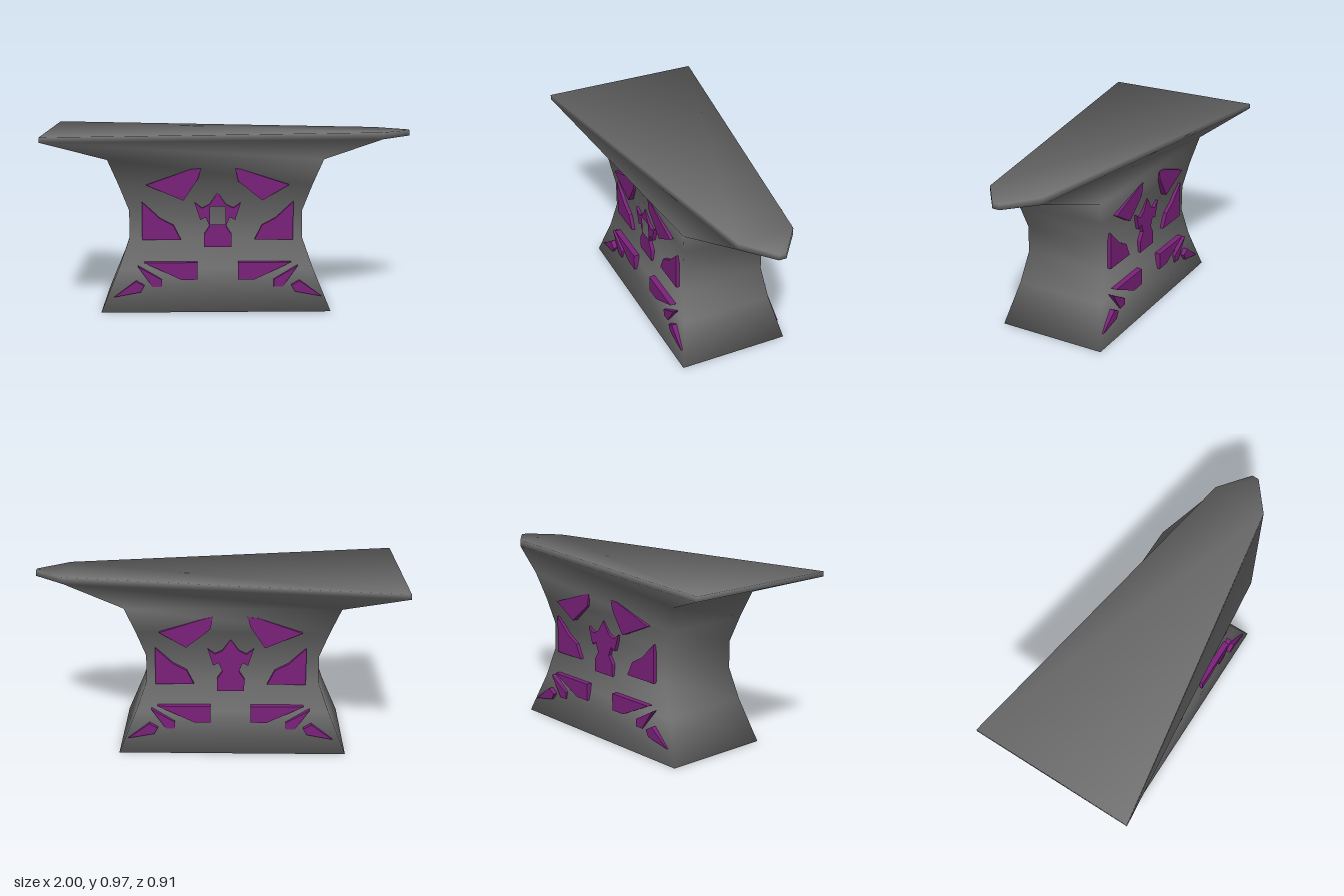
import * as THREE from 'three';
import { mergeVertices } from 'three/addons/utils/BufferGeometryUtils.js';

const iron = new THREE.MeshStandardMaterial({ color: 0x727272 });
const purple = new THREE.MeshStandardMaterial({ color: 0x7a217a });
const AXIS = -0.075; // the waist and its ornaments are mirrored about this x

// Six-cornered outline: heel edge, shoulder, horn tip and back again
function outline([xl, zl, yl], [xr, zr, yr], [xt, zt, yt] = [xr, zr, yr]) {
  return [[xl, yl, zl], [xr, yr, zr], [xt, yt, zt], [xt, yt, -zt], [xr, yr, -zr], [xl, yl, -zl]];
}

// Smooth normals weighted by corner angle, so thin rims round off the broad faces
function smoothByAngle(geo) {
  const pos = geo.attributes.position;
  const sums = Array.from({ length: pos.count }, () => new THREE.Vector3());
  const index = geo.index.array;
  for (let f = 0; f < index.length; f += 3) {
    const ids = [index[f], index[f + 1], index[f + 2]];
    const [a, b, c] = ids.map((i) => new THREE.Vector3().fromBufferAttribute(pos, i));
    const tri = new THREE.Triangle(a, b, c);
    if (tri.getArea() < 1e-7) continue;
    const normal = tri.getNormal(new THREE.Vector3());
    [[a, b, c], [b, c, a], [c, a, b]].forEach(([p, q, r], k) => {
      sums[ids[k]].addScaledVector(normal, q.clone().sub(p).angleTo(r.clone().sub(p)));
    });
  }
  const normals = sums.flatMap((n) => n.normalize().toArray());
  geo.setAttribute('normal', new THREE.Float32BufferAttribute(normals, 3));
}

// Skin stacked outlines into one smooth closed body
function loft(rings) {
  const index = [];
  const quad = (a, b, c, d) => index.push(a, b, d, b, c, d);
  for (let r = 0; r < rings.length - 1; r++) {
    for (let i = 0; i < 6; i++) {
      const j = (i + 1) % 6;
      quad(r * 6 + i, r * 6 + j, r * 6 + 6 + j, r * 6 + 6 + i);
    }
  }
  const t = (rings.length - 1) * 6;
  quad(t, t + 1, t + 4, t + 5);
  quad(t + 1, t + 2, t + 3, t + 4);
  quad(5, 4, 1, 0);
  let geo = new THREE.BufferGeometry();
  geo.setAttribute('position', new THREE.Float32BufferAttribute(rings.flat(2), 3));
  geo.setIndex(index);
  geo = mergeVertices(geo);
  smoothByAngle(geo);
  return geo;
}

const toShape = (points) => new THREE.Shape(points.map(([x, y]) => new THREE.Vector2(x, y)));
const mirror = (points) => points.map(([x, y]) => [2 * AXIS - x, y]);

// Flat ornament reaching from z0 to z1
function inlay(name, shape, z0, z1) {
  const geo = new THREE.ExtrudeGeometry(shape, { depth: z1 - z0, bevelEnabled: false });
  geo.translate(0, 0, z0);
  const mesh = new THREE.Mesh(geo, purple);
  mesh.name = name;
  return mesh;
}

export function createModel() {
  const group = new THREE.Group();
  group.name = 'anvil';

  // Waisted foot, flaring into the face with its wide heel and pointed horn
  const waist = [
    // y, left x, right x, half depth
    [0, -0.71, 0.54, 0.31],
    [0.23, -0.615, 0.445, 0.257],
    [0.4, -0.555, 0.385, 0.235],
    [0.55, -0.555, 0.385, 0.235],
    [0.69, -0.607, 0.437, 0.255],
    [0.833, -0.665, 0.495, 0.285],
  ].map(([y, xl, xr, z]) => outline([xl, z, y], [xr, z, y]));
  const body = new THREE.Mesh(loft([
    ...waist,
    outline([-1, 0.453, 0.945], [0.83, 0.153, 0.925]),
    outline([-1, 0.453, 0.945], [0.83, 0.153, 0.925], [1, 0.02, 0.932]),
    outline([-1, 0.453, 0.972], [0.83, 0.153, 0.963], [1, 0.02, 0.962]),
  ]), iron);
  body.name = 'anvilBody';
  group.add(body);

  // Mirrored ornaments, showing on both front and back
  const pairs = [
    ['sideInlay', 0.255, [[0.335, 0.6], [0.24, 0.51], [0.165, 0.47], [0.125, 0.39], [0.335, 0.39]]],
    ['lowerInlay', 0.285, [[0.325, 0.27], [0.035, 0.27], [0.035, 0.175], [0.125, 0.175]]],
    ['splinterInlay', 0.285, [[0.36, 0.25], [0.23, 0.175], [0.23, 0.135], [0.28, 0.135]]],
    ['cornerInlay', 0.3, [[0.49, 0.083], [0.37, 0.17], [0.325, 0.145], [0.345, 0.11]]],
  ];
  for (const [name, z, points] of pairs) {
    group.add(inlay(name + 'Left', toShape(points), -z, z));
    group.add(inlay(name + 'Right', toShape(mirror(points)), -z, z));
  }

  // Upper ornaments, slightly different left and right
  const upperLeft = [[0.02, 0.785], [0.05, 0.78], [0.31, 0.695], [0.165, 0.61], [0.035, 0.715]];
  const upperRight = [[-0.46, 0.695], [-0.22, 0.78], [-0.165, 0.785], [-0.18, 0.73], [-0.26, 0.61]];
  group.add(inlay('upperInlayLeft', toShape(upperLeft), -0.277, 0.277));
  group.add(inlay('upperInlayRight', toShape(upperRight), -0.277, 0.277));

  // Central emblem: solid at the back, open in the middle at the front
  const half = [[0, 0.65], [0.045, 0.585], [0.085, 0.565], [0.125, 0.595], [0.095, 0.5],
    [0.065, 0.515], [0.045, 0.465], [0.075, 0.42], [0.075, 0.35]].map(([x, y]) => [AXIS + x, y]);
  const emblem = [...half, ...mirror(half.slice(1)).reverse()];
  group.add(inlay('emblemBack', toShape(emblem), -0.255, 0));
  const front = toShape(emblem);
  front.holes.push(toShape([[-0.117, 0.475], [-0.117, 0.575], [-0.033, 0.575], [-0.033, 0.475]]));
  group.add(inlay('emblemFront', front, 0, 0.255));

  return group;
}
